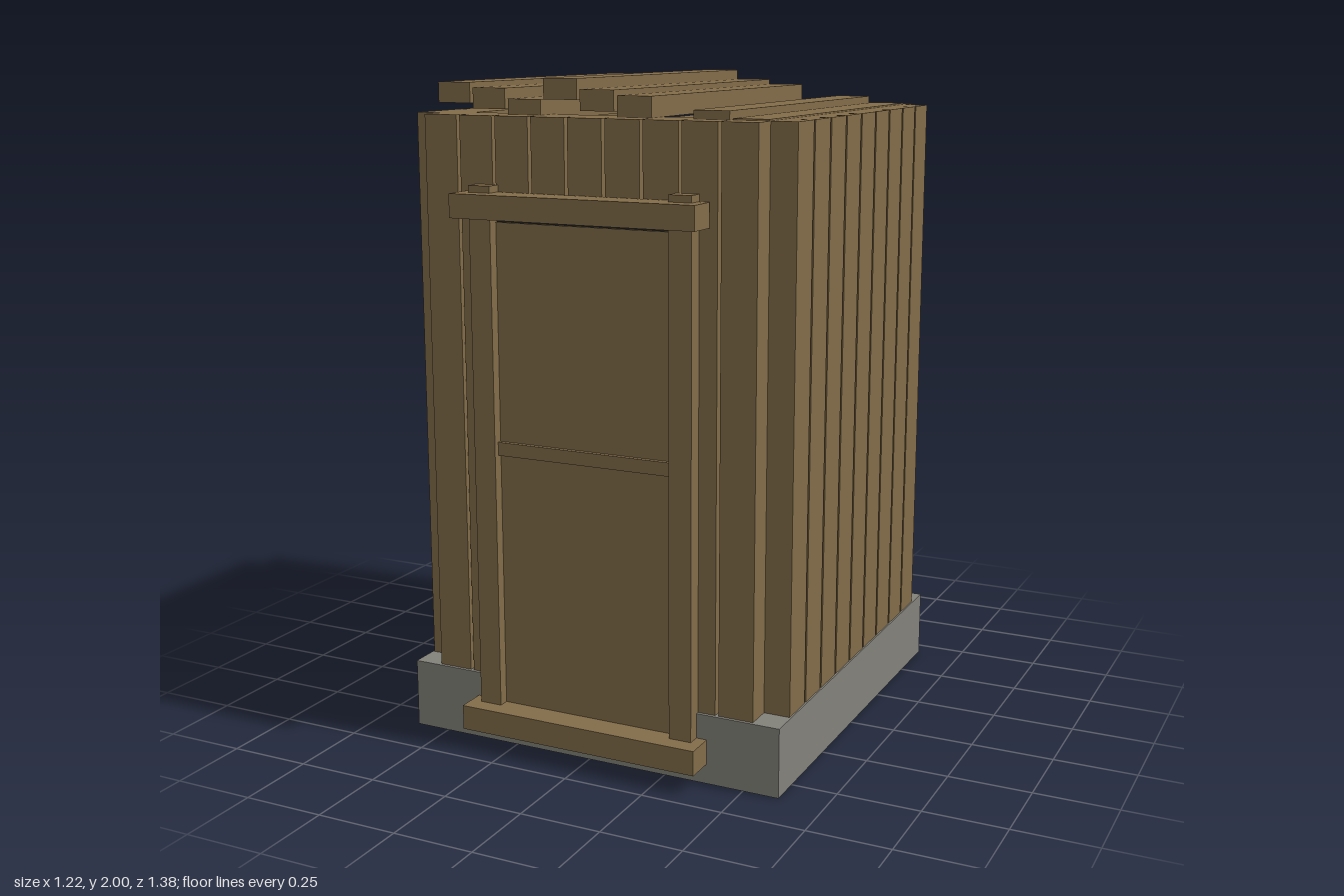
import * as THREE from 'three';

const wood = new THREE.MeshStandardMaterial({ color: 0x826c49, name: 'wood' });
const stone = new THREE.MeshStandardMaterial({ color: 0x82817a, name: 'stone' });
const shade = new THREE.MeshStandardMaterial({ color: 0x222222, name: 'darkGap' });

const FLOOR = 0.01, TOP = 1.895; // wall foot (inside the base) and wall top
const SILL = 0.95, HEAD = 1.855; // rear window opening
const HALF = 0.525, SKIN = 0.04, GAP = 0.01, COUNT = 9;

// Box given by its minimum and maximum corners
function block(parent, name, material, [x0, y0, z0], [x1, y1, z1]) {
  const mesh = new THREE.Mesh(new THREE.BoxGeometry(x1 - x0, y1 - y0, z1 - z0), material);
  mesh.position.set((x0 + x1) / 2, (y0 + y1) / 2, (z0 + z1) / 2);
  mesh.name = name;
  parent.add(mesh);
  return mesh;
}

// Start and end of each of the evenly spaced boards between a and b
function boards(a, b) {
  const pitch = (b - a + GAP) / COUNT;
  return Array.from({ length: COUNT }, (_, i) => [a + i * pitch, a + (i + 1) * pitch - GAP]);
}

function createModel() {
  const model = new THREE.Group();
  model.name = 'woodenHut';

  block(model, 'base', stone, [-0.61, 0, -0.69], [0.61, 0.21, 0.6]);

  // Side walls: solid core with a skin of separate boards
  for (const s of [-1, 1]) {
    const wall = new THREE.Group();
    wall.name = s > 0 ? 'leftWall' : 'rightWall';
    const span = (a, b) => (s > 0 ? [a, b] : [-b, -a]);
    const core = span(0.45, 0.605 - SKIN), skin = span(0.605 - SKIN, 0.605);
    block(wall, 'sideCore', wood, [core[0], FLOOR, -0.605], [core[1], TOP, 0.51]);
    for (const [z0, z1] of boards(-0.605, 0.51)) {
      block(wall, 'sideBoard', wood, [skin[0], FLOOR, z0], [skin[1], TOP, z1]);
    }
    model.add(wall);
  }

  // Front wall
  const front = new THREE.Group();
  front.name = 'frontWall';
  block(front, 'frontCore', wood, [-HALF, FLOOR, 0.44], [HALF, TOP, 0.55]);
  for (const [x0, x1] of boards(-HALF, HALF)) {
    block(front, 'frontBoard', wood, [x0, FLOOR, 0.55], [x1, TOP, 0.59]);
  }
  model.add(front);

  // Back wall: the seven middle boards are cut by the window
  const back = new THREE.Group();
  back.name = 'backWall';
  const backPiece = (name, x0, x1, y0, y1, z0, z1) =>
    block(back, name, wood, [x0, y0, z0], [x1, y1, z1]);
  backPiece('backCoreLower', -0.41, 0.41, FLOOR, SILL, -0.65, -0.54);
  backPiece('windowLintel', -0.41, 0.41, HEAD, TOP, -0.65, -0.54);
  backPiece('windowJamb', -HALF, -0.41, FLOOR, TOP, -0.65, -0.54);
  backPiece('windowJamb', 0.41, HALF, FLOOR, TOP, -0.65, -0.54);
  boards(-HALF, HALF).forEach(([x0, x1], i) => {
    if (i === 0 || i === COUNT - 1) {
      backPiece('backBoard', x0, x1, FLOOR, TOP, -0.69, -0.65);
    } else {
      backPiece('backBoard', x0, x1, FLOOR, SILL, -0.69, -0.65);
      backPiece('lintelBoard', x0, x1, HEAD, TOP, -0.69, -0.65);
    }
  });
  model.add(back);

  // Loose roof planks lying at uneven heights
  const roof = new THREE.Group();
  roof.name = 'roof';
  const roofTops = [1.985, 1.97, 1.94, 2.0, 1.97, 1.955, 1.893, 1.92, 1.9];
  boards(-HALF, HALF).forEach(([x0, x1], i) => {
    block(roof, 'roofPlank', wood, [x0, roofTops[i] - 0.06, -0.605], [x1, roofTops[i], 0.515]);
  });
  model.add(roof);

  // Door with its crossbar and the dark gap above it
  const door = new THREE.Group();
  door.name = 'door';
  block(door, 'doorPanel', wood, [-0.285, 0.06, 0.585], [0.285, 1.595, 0.606]);
  block(door, 'doorCrossbar', wood, [-0.285, 0.91, 0.6], [0.285, 0.95, 0.62]);
  block(door, 'doorGap', shade, [-0.295, 1.595, 0.39], [0.295, 1.612, 0.6]);
  model.add(door);

  // Door frame: two posts and two rails
  const frame = new THREE.Group();
  frame.name = 'doorFrame';
  for (const x of [-0.3175, 0.3175]) {
    block(frame, 'framePost', wood, [x - 0.035, 0.045, 0.588], [x + 0.035, 1.7, 0.638]);
  }
  for (const [y0, y1] of [[0.06, 0.135], [1.61, 1.68]]) {
    block(frame, 'frameRail', wood, [-0.385, y0, 0.595], [0.385, y1, 0.69]);
  }
  model.add(frame);

  return model;
}

export { createModel };
